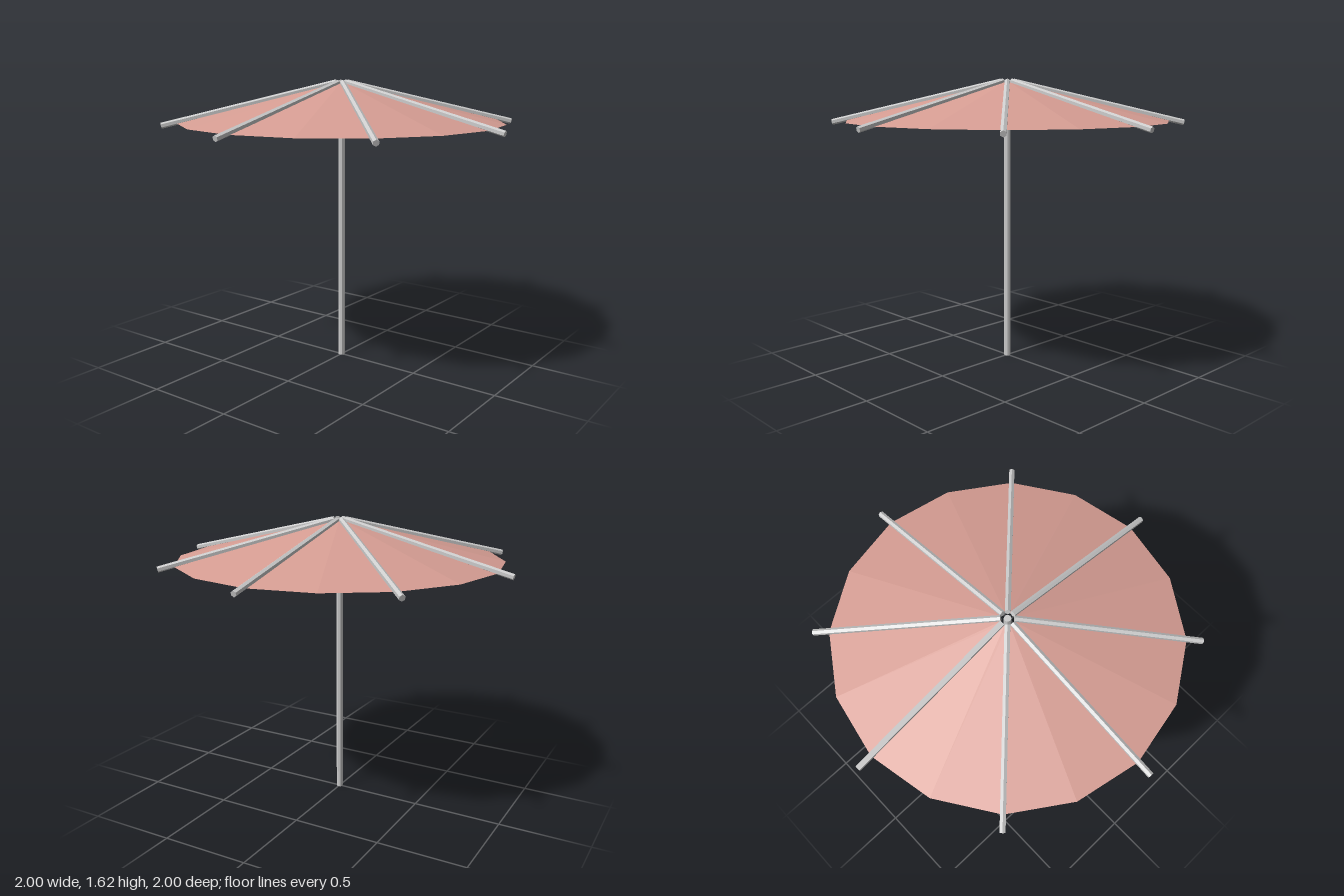
import * as THREE from 'three';

export function createModel() {
  const group = new THREE.Group();
  const metal = new THREE.MeshStandardMaterial({ color: 0xcccccc, flatShading: true });
  const fabric = new THREE.MeshStandardMaterial({
    color: 0xd69d93, flatShading: true, side: THREE.DoubleSide,
  });

  const add = (name, geometry, material) => {
    const mesh = new THREE.Mesh(geometry, material);
    mesh.name = name;
    group.add(mesh);
    return mesh;
  };

  // Pole
  const poleTop = 1.61;
  add('pole', new THREE.CylinderGeometry(0.019, 0.019, poleTop, 8), metal)
    .position.y = poleTop / 2;

  // Sixteen-sided canopy with a small opening around the pole
  const rimY = 1.39, crownY = 1.602;
  add('canopy', new THREE.CylinderGeometry(0.035, 0.912, crownY - rimY, 16, 1, true), fabric)
    .position.y = (rimY + crownY) / 2;

  // Eight ribs running down the canopy and past its rim
  const inner = new THREE.Vector2(0.034, 1.606);
  const outer = new THREE.Vector2(0.996, 1.379);
  const length = inner.distanceTo(outer);
  const slope = Math.atan2(outer.y - inner.y, outer.x - inner.x);
  const ribGeometry = new THREE.CylinderGeometry(0.0165, 0.0165, length, 6)
    .rotateY(Math.PI / 6)
    .rotateZ(slope - Math.PI / 2)
    .translate((inner.x + outer.x) / 2, (inner.y + outer.y) / 2, 0);
  for (let i = 0; i < 8; i++) {
    add('rib' + (i + 1), ribGeometry, metal).rotation.y = (i * Math.PI) / 4;
  }

  return group;
}
